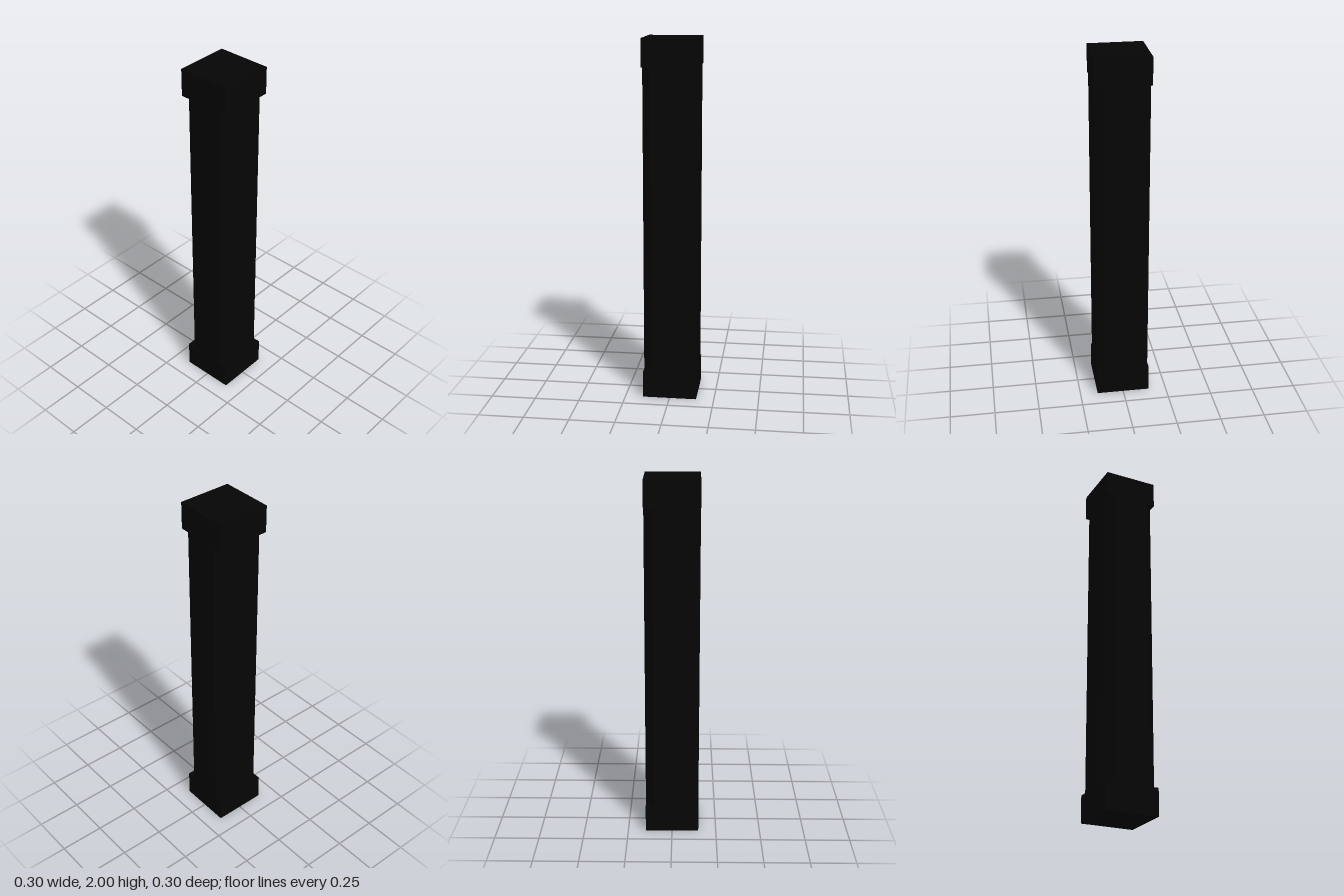
import * as THREE from 'three';

const HALF = 0.15;    // half width of the post
const CHAMFER = 0.05; // cut taken off each shaft corner
const BLOCK = 0.15;   // height of the square end blocks
const HEIGHT = 2;

export function createModel() {
  const group = new THREE.Group();
  group.name = 'post';
  const material = new THREE.MeshStandardMaterial({ color: 0x050505 });

  const add = (name, geometry, y) => {
    const mesh = new THREE.Mesh(geometry, material);
    mesh.name = name;
    mesh.position.y = y;
    group.add(mesh);
  };

  // Square blocks at both ends
  const block = new THREE.BoxGeometry(HALF * 2, BLOCK, HALF * 2);
  add('baseBlock', block, BLOCK / 2);
  add('topBlock', block, HEIGHT - BLOCK / 2);

  // Shaft with four chamfered corners, flush with the blocks
  const inner = HALF - CHAMFER;
  const outline = [];
  for (let i = 0; i < 4; i++) {
    const turn = (i * Math.PI) / 2;
    for (const side of [-inner, inner]) {
      outline.push(new THREE.Vector2(HALF, side).rotateAround(new THREE.Vector2(), turn));
    }
  }
  const shaft = new THREE.ExtrudeGeometry(new THREE.Shape(outline), {
    depth: HEIGHT - BLOCK * 2,
    bevelEnabled: false,
  });
  shaft.rotateX(-Math.PI / 2);
  add('chamferedShaft', shaft, BLOCK);

  return group;
}
